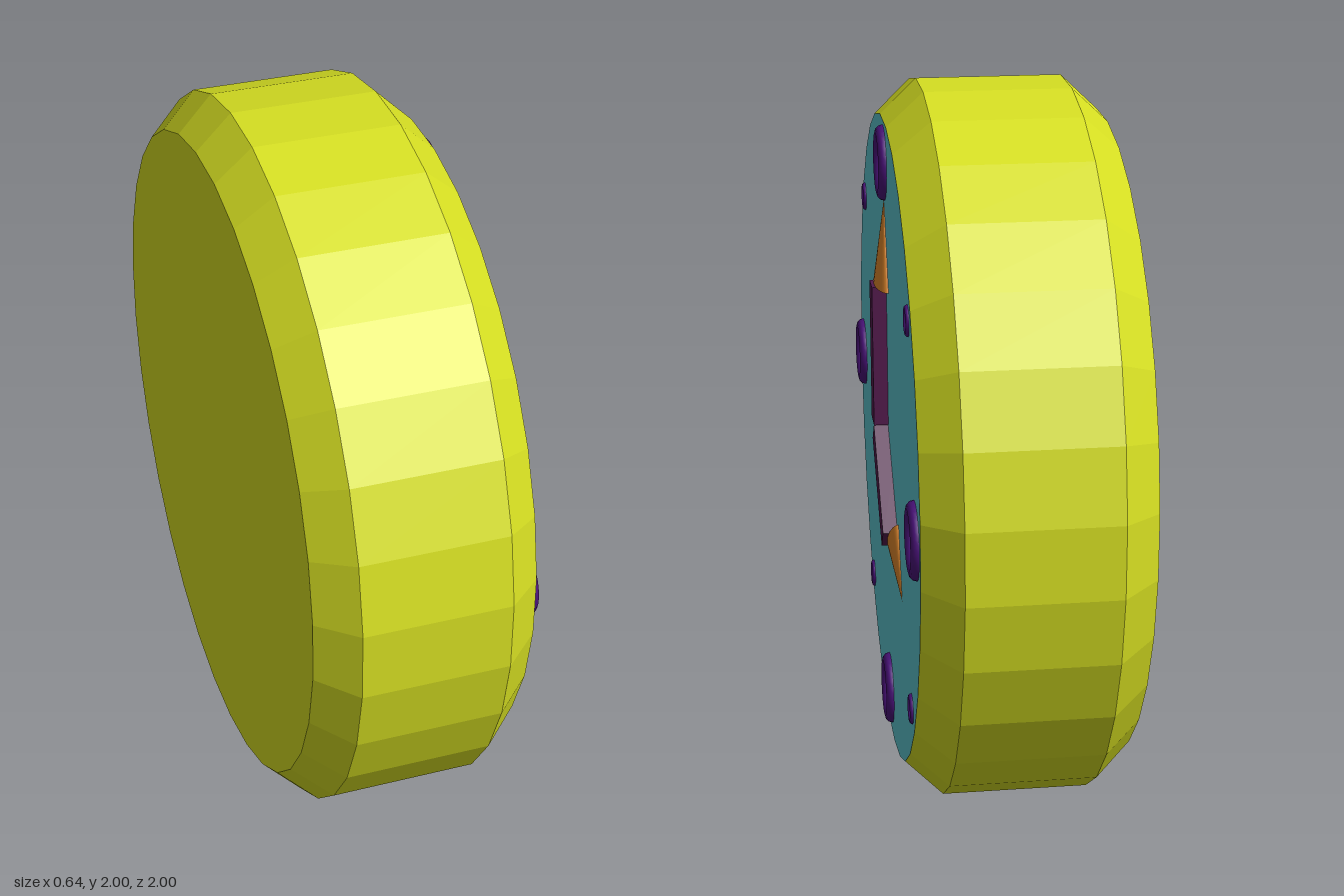
import * as THREE from 'three';

const SIDES = 32;
const FACE_X = 0.28;

const mat = (color, flatShading = false) => new THREE.MeshStandardMaterial({ color, flatShading });
const yellow = mat(0xd6df22, true);
const cyan = mat(0x5cc1cc);
const purple = mat(0x4a1279);
const plum = mat(0x521a4c);
const orange = mat(0xdc852b);

function add(parent, name, geometry, material, x = 0, y = 0, z = 0) {
  const mesh = new THREE.Mesh(geometry, material);
  mesh.name = name;
  mesh.position.set(x, y, z);
  parent.add(mesh);
  return mesh;
}

// A clock hand lying along local +y: square shaft with a flattened arrow head
function makeHand(name, shaftLength, headRadius, headLength, shaftWidth) {
  const hand = new THREE.Group();
  hand.name = name;
  add(hand, name + 'Shaft', new THREE.BoxGeometry(0.08, shaftLength, shaftWidth), plum, 0, shaftLength / 2);
  const head = add(hand, name + 'Head', new THREE.ConeGeometry(headRadius, headLength, 32), orange,
    0, shaftLength + headLength / 2);
  head.scale.x = 0.3;
  return hand;
}

export function createModel() {
  const clock = new THREE.Group();
  clock.name = 'clock';

  // Bevelled drum, turned so its axis runs along x
  const profile = [[0, -0.32], [0.91, -0.32], [1.005, -0.22], [1.005, 0.18], [0.91, FACE_X]]
    .map(([r, h]) => new THREE.Vector2(r, h));
  const body = new THREE.LatheGeometry(profile, SIDES, Math.PI / SIDES);
  body.rotateZ(-Math.PI / 2);
  add(clock, 'body', body, yellow, 0, 1, 0);

  // Dial closing the open side of the drum
  const dial = new THREE.CircleGeometry(0.91, SIDES, Math.PI / SIDES);
  dial.rotateY(Math.PI / 2);
  add(clock, 'dial', dial, cyan, FACE_X, 1, 0);

  // Hour rings half sunk in the dial, as [y, z]
  const addRings = (name, radius, tube, places) => {
    const ring = new THREE.TorusGeometry(radius, tube, 12, 32);
    ring.rotateY(Math.PI / 2);
    for (const [y, z] of places) add(clock, name, ring, purple, FACE_X, y, z);
  };
  addRings('largeRing', 0.082, 0.021, [[1.79, 0], [1, -0.785], [0.22, 0], [1.005, 0.795]]);
  addRings('smallRing', 0.032, 0.009, [[1.535, -0.645], [0.463, -0.643], [0.358, 0.54], [1.538, 0.652]]);

  // Hands
  const minuteHand = makeHand('minuteHand', 0.4, 0.104, 0.24, 0.08);
  minuteHand.position.set(FACE_X, 1.05, 0);
  clock.add(minuteHand);

  const hourHand = makeHand('hourHand', 0.34, 0.087, 0.19, 0.075);
  hourHand.position.set(FACE_X, 1.02, -0.005);
  hourHand.rotation.x = Math.atan2(-0.395, -0.355);
  clock.add(hourHand);

  return clock;
}
